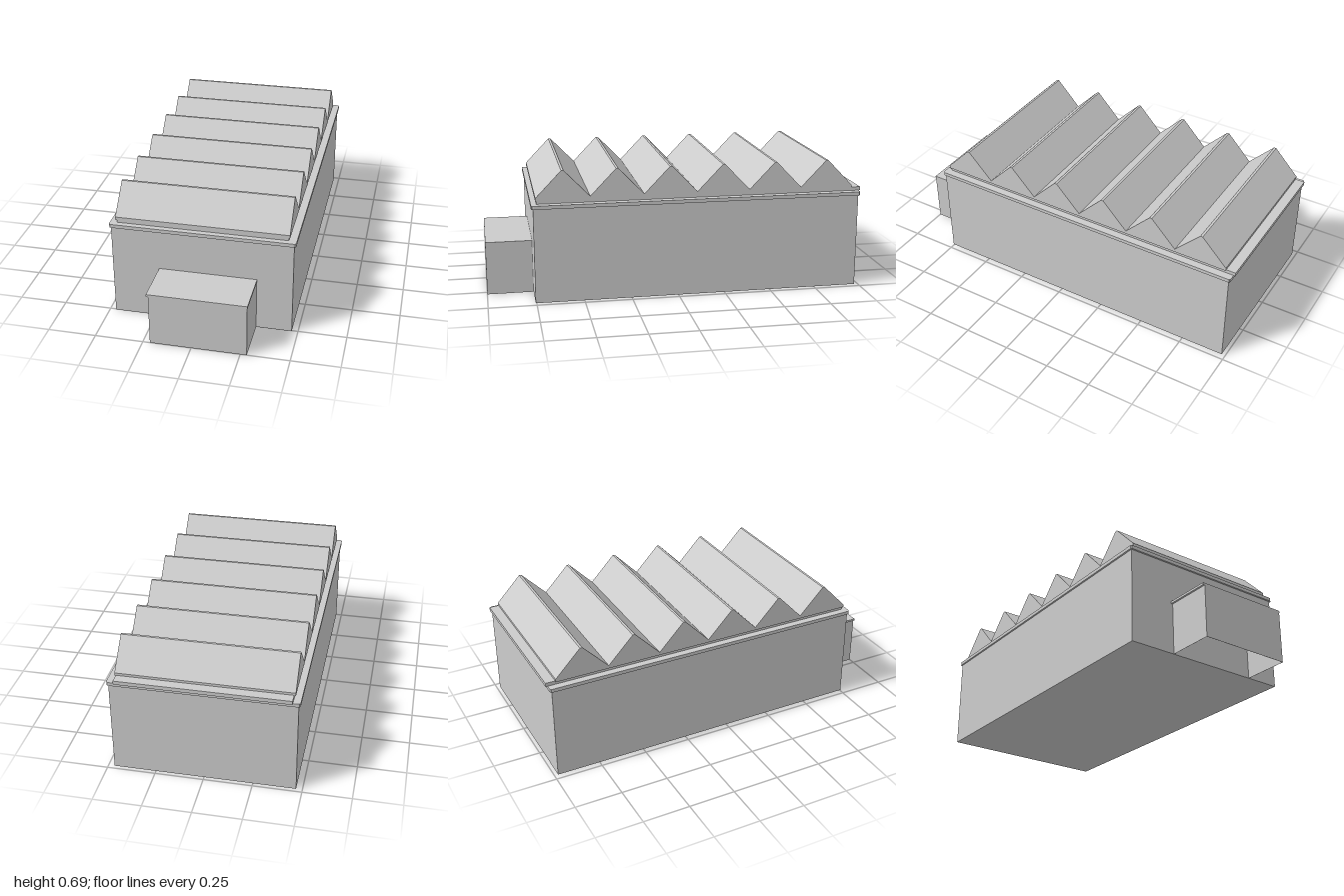
import * as THREE from 'three';

const material = new THREE.MeshStandardMaterial({ color: 0xcccccc, flatShading: true, side: THREE.DoubleSide });

export function createModel() {
  const model = new THREE.Group();

  function add(name, geometry) {
    const mesh = new THREE.Mesh(geometry, material);
    mesh.name = name;
    model.add(mesh);
    return mesh;
  }

  // Box given by its lower and upper bounds
  function box(name, x0, x1, y0, y1, z0, z1) {
    const geometry = new THREE.BoxGeometry(x1 - x0, y1 - y0, z1 - z0);
    geometry.translate((x0 + x1) / 2, (y0 + y1) / 2, (z0 + z1) / 2);
    return add(name, geometry);
  }

  // Main hall
  box('hall', -0.468, 0.468, 0, 0.505, -0.98, 0.755);

  // Eaves slab with slightly rounded corners
  const w = 0.477, front = 0.764, back = -0.99, r = 0.014;
  const eaves = new THREE.Shape();
  eaves.moveTo(-w + r, -front);
  eaves.lineTo(w - r, -front);
  eaves.quadraticCurveTo(w, -front, w, -front + r);
  eaves.lineTo(w, -back - r);
  eaves.quadraticCurveTo(w, -back, w - r, -back);
  eaves.lineTo(-w + r, -back);
  eaves.quadraticCurveTo(-w, -back, -w, -back - r);
  eaves.lineTo(-w, -front + r);
  eaves.quadraticCurveTo(-w, -front, -w + r, -front);
  const eavesGeometry = new THREE.ExtrudeGeometry(eaves, { depth: 0.019, bevelEnabled: false, curveSegments: 3 });
  eavesGeometry.rotateX(-Math.PI / 2).translate(0, 0.502, 0);
  add('eaves', eavesGeometry);

  // Low plate under the roof, running out past the back eaves
  box('roofPlate', -0.44, 0.437, 0.52, 0.54, -1, 0.735);

  // Sawtooth roof: side profile with six ridges, extruded across the width
  const teeth = 6, start = 0.74, pitch = 0.2815, valley = 0.553, ridge = 0.693, flat = 0.006;
  const end = start - teeth * pitch;
  const profile = new THREE.Shape();
  profile.moveTo(-start, 0.537);
  profile.lineTo(-end, 0.537);
  for (let i = teeth - 1; i >= 0; i--) {
    const middle = start - (i + 0.5) * pitch;
    profile.lineTo(-(start - (i + 1) * pitch), valley);
    profile.lineTo(-(middle - flat), ridge);
    profile.lineTo(-(middle + flat), ridge);
  }
  profile.lineTo(-start, valley);
  const roofGeometry = new THREE.ExtrudeGeometry(profile, { depth: 0.891, bevelEnabled: false });
  roofGeometry.rotateY(Math.PI / 2).translate(-0.448, 0, 0);
  add('sawtoothRoof', roofGeometry);

  // Front annex: three walls, open underneath
  const annex = new THREE.Shape();
  const x0 = -0.213, x1 = 0.283, t = 0.001;
  annex.moveTo(x0, -0.755);
  annex.lineTo(x0, -1);
  annex.lineTo(x1, -1);
  annex.lineTo(x1, -0.755);
  annex.lineTo(x1 - t, -0.755);
  annex.lineTo(x1 - t, -1 + t);
  annex.lineTo(x0 + t, -1 + t);
  annex.lineTo(x0 + t, -0.755);
  const annexGeometry = new THREE.ExtrudeGeometry(annex, { depth: 0.275, bevelEnabled: false });
  annexGeometry.rotateX(-Math.PI / 2);
  add('annexWalls', annexGeometry);

  // Flat annex roof
  box('annexRoof', -0.223, 0.285, 0.275, 0.287, 0.755, 1);

  return model;
}
